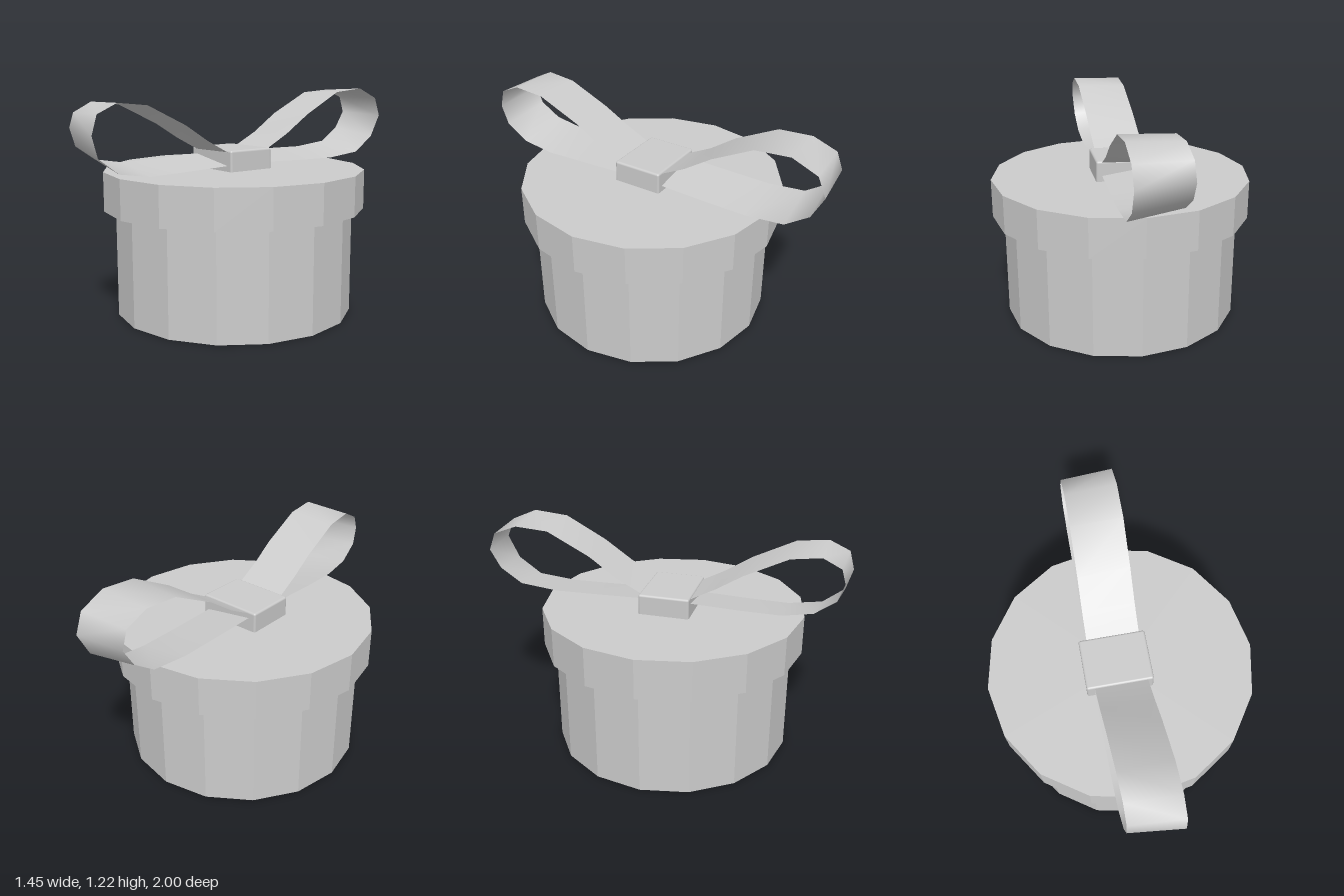
import * as THREE from 'three';
import { RoundedBoxGeometry } from 'three/addons/geometries/RoundedBoxGeometry.js';

const CENTER_Z = 0.05;
const SIDES = 16;

function drum(name, radius, bottom, top, material) {
  const mesh = new THREE.Mesh(
    new THREE.CylinderGeometry(radius, radius, top - bottom, SIDES), material);
  mesh.name = name;
  mesh.position.set(0, (bottom + top) / 2, CENTER_Z);
  return mesh;
}

// Twisted band: each row is [z, y] of the +x edge, [z, y] of the -x edge, then a sideways shift
function ribbon(name, rows, material) {
  const positions = [], index = [];
  rows.forEach(([zA, yA, zB, yB, shift], i) => {
    positions.push(0.125 + shift, yA, zA, -0.16 + shift, yB, zB);
    if (i > 0) {
      const a = 2 * (i - 1);
      index.push(a, a + 1, a + 2, a + 1, a + 3, a + 2);
    }
  });
  const geometry = new THREE.BufferGeometry();
  geometry.setAttribute('position', new THREE.Float32BufferAttribute(positions, 3));
  geometry.setIndex(index);
  geometry.computeVertexNormals();
  const mesh = new THREE.Mesh(geometry, material);
  mesh.name = name;
  return mesh;
}

export function createModel() {
  const group = new THREE.Group();
  group.name = 'giftBox';
  const faceted = new THREE.MeshStandardMaterial({ color: 0xcccccc, flatShading: true });
  const smooth = new THREE.MeshStandardMaterial({ color: 0xcccccc });
  const cloth = new THREE.MeshStandardMaterial({ color: 0xcccccc, side: THREE.DoubleSide });

  // Round box and its wider lid
  group.add(drum('boxBody', 0.66, 0, 0.585, faceted));
  group.add(drum('lid', 0.724, 0.585, 0.8, faceted));

  // Knot with slightly softened edges, sunk a little into the lid
  const knot = new THREE.Mesh(new RoundedBoxGeometry(0.36, 0.135, 0.28, 2, 0.012), smooth);
  knot.name = 'bowKnot';
  knot.position.set(-0.023, 0.8455, 0.047);
  knot.rotation.z = 0.012;
  group.add(knot);

  // Front loop, from the top of the knot round to its base
  group.add(ribbon('frontLoop', [
    [0.10, 0.86, 0.10, 0.86, 0],
    [0.19, 0.907, 0.19, 0.902, 0],
    [0.32, 0.975, 0.32, 0.97, 0.005],
    [0.46, 1.063, 0.46, 1.055, 0.012],
    [0.69, 1.173, 0.69, 1.165, 0.022],
    [0.86, 1.19, 0.85, 1.185, 0.028],
    [0.97, 1.14, 0.95, 1.135, 0.028],
    [0.998, 1.04, 0.972, 1.06, 0.025],
    [0.965, 0.93, 0.94, 0.965, 0.018],
    [0.85, 0.845, 0.83, 0.89, 0.01],
    [0.67, 0.817, 0.67, 0.862, 0.005],
    [0.45, 0.822, 0.45, 0.866, 0],
    [0.10, 0.834, 0.10, 0.877, 0],
  ], cloth));

  // Back loop, a little taller
  group.add(ribbon('backLoop', [
    [0, 0.86, 0, 0.86, 0],
    [-0.09, 0.907, -0.09, 0.902, 0],
    [-0.23, 0.98, -0.23, 0.974, 0.002],
    [-0.39, 1.087, -0.38, 1.078, 0.006],
    [-0.62, 1.207, -0.62, 1.198, 0.01],
    [-0.815, 1.224, -0.805, 1.21, 0.01],
    [-0.955, 1.163, -0.935, 1.16, 0.007],
    [-0.999, 1.055, -0.97, 1.065, 0.003],
    [-0.935, 0.93, -0.91, 0.965, 0],
    [-0.805, 0.84, -0.79, 0.885, 0],
    [-0.59, 0.82, -0.58, 0.864, 0],
    [-0.36, 0.824, -0.36, 0.868, 0],
    [0, 0.836, 0, 0.877, 0],
  ], cloth));

  return group;
}
